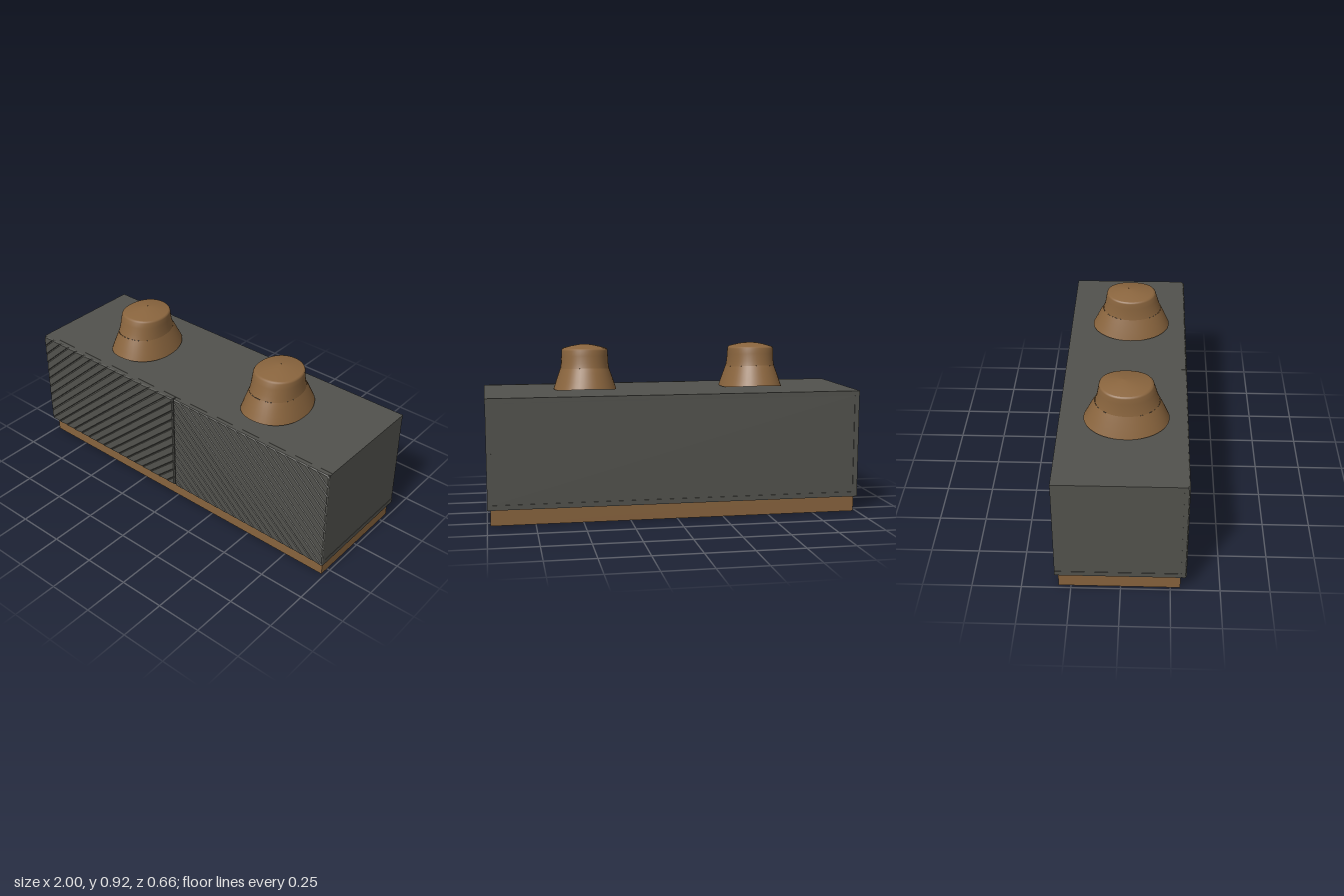
import * as THREE from 'three';

const mat = (name, color, side = THREE.FrontSide) => {
  const m = new THREE.MeshStandardMaterial({ color, side });
  m.name = name;
  return m;
};

export function createModel() {
  const root = new THREE.Group();
  root.name = 'sideboardWithHats';
  const grey = mat('charcoalPaint', 0x52524d);
  const wood = mat('brownWood', 0x87633d);
  const felt = mat('brownFelt', 0x8a653e, THREE.DoubleSide);

  const add = (parent, name, geometry, material) => {
    const mesh = new THREE.Mesh(geometry, material);
    mesh.name = name;
    parent.add(mesh);
    return mesh;
  };
  // Box given by its min and max on each axis
  const box = (parent, name, material, [x0, x1], [y0, y1], [z0, z1]) =>
    add(parent, name, new THREE.BoxGeometry(x1 - x0, y1 - y0, z1 - z0), material)
      .position.set((x0 + x1) / 2, (y0 + y1) / 2, (z0 + z1) / 2);

  // Open plinth frame
  const plinth = new THREE.Group();
  plinth.name = 'plinth';
  root.add(plinth);
  box(plinth, 'plinthFront', wood, [-0.983, 0.983], [0, 0.085], [0.25, 0.3]);
  box(plinth, 'plinthBack', wood, [-0.983, 0.983], [0, 0.085], [-0.313, -0.263]);
  for (const s of [-1, 1]) {
    const xs = [s * 0.983, s * 0.933].sort((a, b) => a - b);
    box(plinth, 'plinthSide', wood, xs, [0, 0.085], [-0.263, 0.25]);
  }

  // Carcass: boards around slightly recessed panels
  const carcass = new THREE.Group();
  carcass.name = 'carcass';
  root.add(carcass);
  box(carcass, 'topBoard', grey, [-1, 1], [0.641, 0.667], [-0.33, 0.302]);
  box(carcass, 'bottomBoard', grey, [-1, 1], [0.085, 0.111], [-0.33, 0.302]);
  box(carcass, 'backPanel', grey, [-0.975, 0.975], [0.111, 0.641], [-0.326, -0.31]);
  for (const s of [-1, 1]) {
    const xs = [s * 0.998, s * 0.973].sort((a, b) => a - b);
    box(carcass, 'sidePanel', grey, xs, [0.111, 0.641], [-0.33, 0.302]);
  }

  // Keep the part of a polygon where f(point) >= 0
  const clip = (poly, f) => poly.flatMap((p, i) => {
    const q = poly[(i + 1) % poly.length];
    const a = f(p), b = f(q);
    const out = a >= 0 ? [p] : [];
    if ((a > 0 && b < 0) || (a < 0 && b > 0)) out.push(p.clone().lerp(q, a / (a - b)));
    return out;
  });

  // Doors faced with bevelled diagonal slats, mirrored about the middle
  const X0 = 0.003, X1 = 1, Y0 = 0.086, Y1 = 0.666;
  const angle = THREE.MathUtils.degToRad(42);
  const pitch = 0.042, bevel = 0.006;
  for (const s of [-1, 1]) {
    const door = new THREE.Group();
    door.name = s > 0 ? 'leftDoor' : 'rightDoor';
    root.add(door);
    const xs = [s * X0, s * X1].sort((a, b) => a - b);
    box(door, 'doorPanel', grey, xs, [Y0, Y1], [0.302, 0.32]);
    // Distance across the slats
    const across = (p) => (p.y - Y0) * Math.cos(angle) + s * p.x * Math.sin(angle);
    const rect = [[xs[0], Y0], [xs[1], Y0], [xs[1], Y1], [xs[0], Y1]]
      .map(([x, y]) => new THREE.Vector2(x, y));
    for (let d = 0; d < 1.12; d += pitch) {
      let poly = clip(rect, (p) => across(p) - d);
      poly = clip(poly, (p) => d + pitch - across(p));
      if (poly.length < 3 || Math.abs(THREE.ShapeUtils.area(poly)) < 0.0009) continue;
      const slat = new THREE.ExtrudeGeometry(new THREE.Shape(poly), {
        depth: 0.004, bevelEnabled: true, bevelThickness: bevel,
        bevelSize: bevel, bevelOffset: -bevel, bevelSegments: 1,
      });
      add(door, 'slat', slat, grey).position.z = 0.32;
    }
  }

  // Skin through oval rings [y, rx, rz, cz, lift]; lift raises front and back
  const SEG = 48;
  const skin = (rings) => {
    const pos = [], index = [];
    rings.forEach(([y, rx, rz, cz, lift]) => {
      for (let i = 0; i < SEG; i++) {
        const t = (i / SEG) * Math.PI * 2;
        const c = Math.cos(t), n = Math.sin(t);
        const round = (v) => Math.sign(v) * Math.abs(v) ** 0.93;
        pos.push(rx * round(c), y + lift * n * n, cz + rz * round(n));
      }
    });
    for (let r = 0; r < rings.length - 1; r++) {
      for (let i = 0; i < SEG; i++) {
        const j = (i + 1) % SEG;
        const a = r * SEG + i, b = r * SEG + j;
        index.push(a, a + SEG, b, b, a + SEG, b + SEG);
      }
    }
    const g = new THREE.BufferGeometry();
    g.setAttribute('position', new THREE.Float32BufferAttribute(pos, 3));
    g.setIndex(index);
    g.computeVertexNormals();
    return g;
  };

  // Two bucket hats
  const brim = skin([
    [0.67, 0.17, 0.218, 0.015, 0.018],
    [0.71, 0.157, 0.2, 0.017, 0.016],
    [0.75, 0.143, 0.182, 0.018, 0.014],
    [0.782, 0.132, 0.165, 0.02, 0.012],
  ]);
  const crown = skin([
    [0.782, 0.132, 0.164, 0.02, 0.012],
    [0.81, 0.128, 0.154, 0.019, 0.011],
    [0.85, 0.126, 0.145, 0.017, 0.009],
    [0.88, 0.125, 0.138, 0.015, 0.007],
    [0.887, 0.122, 0.133, 0.014, 0.006],
    [0.89, 0.117, 0.126, 0.013, 0.006],
  ]);
  const crownTop = skin([
    [0.89, 0.117, 0.126, 0.013, 0.006],
    [0.902, 0.078, 0.084, 0.009, 0.003],
    [0.911, 0.036, 0.038, 0.004, 0.001],
    [0.915, 0.001, 0.001, 0, 0],
  ]);
  for (const x of [-0.475, 0.455]) {
    const hat = new THREE.Group();
    hat.name = 'bucketHat';
    hat.position.x = x;
    root.add(hat);
    add(hat, 'hatBrim', brim, felt);
    add(hat, 'hatCrown', crown, felt);
    add(hat, 'hatTop', crownTop, felt);
  }
  return root;
}
